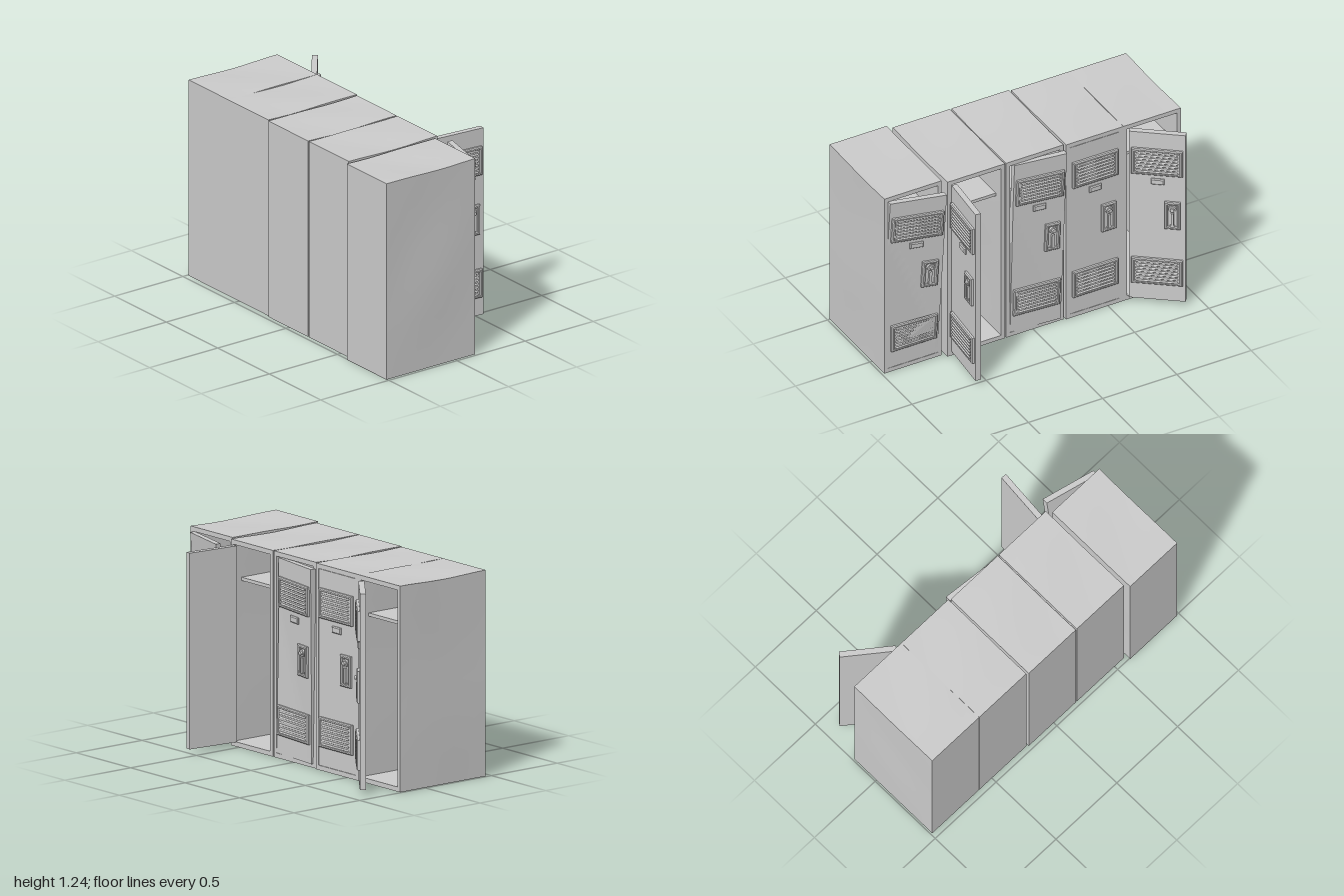
import * as THREE from 'three';

const H = 1.24, W = 0.386, D = 0.65, T = 0.025;   // cabinet size and wall thickness
const DW = 0.335, DT = 0.035, DY = 0.03, DH = 1.18; // door size and height above ground

const material = new THREE.MeshStandardMaterial({ color: 0xcccccc, side: THREE.DoubleSide });

// Move every vertex of a geometry by a rule
function deform(geometry, rule) {
  const pos = geometry.attributes.position;
  const v = new THREE.Vector3();
  for (let i = 0; i < pos.count; i++) {
    v.fromBufferAttribute(pos, i);
    rule(v);
    pos.setXYZ(i, v.x, v.y, v.z);
  }
  geometry.computeVertexNormals();
  return geometry;
}

function addMesh(parent, name, geometry, rule) {
  const mesh = new THREE.Mesh(rule ? deform(geometry, rule) : geometry, material);
  mesh.name = name;
  parent.add(mesh);
}

// Box given by its minimum and maximum corners
function box(x0, x1, y0, y1, z0, z1, sx = 1, sy = 1, sz = 1) {
  return new THREE.BoxGeometry(x1 - x0, y1 - y0, z1 - z0, sx, sy, sz)
    .translate((x0 + x1) / 2, (y0 + y1) / 2, (z0 + z1) / 2);
}

function rectangle(target, w, h) {
  target.moveTo(-w / 2, -h / 2);
  target.lineTo(w / 2, -h / 2);
  target.lineTo(w / 2, h / 2);
  target.lineTo(-w / 2, h / 2);
  target.closePath();
  return target;
}

// Bevelled plate standing out of the door face (towards -z), optionally with an opening
function raisedPlate(x, y, w, h, depth, rim = 0) {
  const bevel = 0.006;
  const shape = rectangle(new THREE.Shape(), w - 2 * bevel, h - 2 * bevel);
  if (rim) shape.holes.push(rectangle(new THREE.Path(), w - 2 * rim, h - 2 * rim));
  return new THREE.ExtrudeGeometry(shape, {
    depth: depth - bevel, bevelEnabled: true, bevelThickness: bevel, bevelSize: bevel, bevelSegments: 1,
  }).rotateY(Math.PI).translate(x, y, 0);
}

// Open-fronted cabinet with a shelf, its sheet metal slightly dented
function createCabinet(x, front, seed) {
  const cabinet = new THREE.Group();
  cabinet.name = 'cabinet';
  const h = W / 2, n = 8;
  const dent = (v) => {
    const bulge = Math.sin(Math.PI * v.y / H) * Math.sin(Math.PI * v.z / D);
    v.x += 0.006 * bulge * Math.sin(seed * 2.1 + v.y * 5 + v.z * 4);
    if (v.y > H / 2) v.y -= 0.004 * (1 + Math.sin(seed + v.x * 9 + v.z * 7)) * Math.sin(Math.PI * v.z / D);
  };
  for (const s of [-1, 1]) {
    const a = s * h, b = s * (h - T);
    addMesh(cabinet, 'sideWall', box(Math.min(a, b), Math.max(a, b), 0, H, 0, D, 1, n, n), dent);
  }
  addMesh(cabinet, 'roof', box(-h + T, h - T, H - 0.028, H, 0, D, n, 1, n), dent);
  addMesh(cabinet, 'floor', box(-h + T, h - T, 0, 0.028, 0, D));
  addMesh(cabinet, 'backWall', box(-h + T, h - T, 0.028, H - 0.028, D - T, D, n, n, 1), dent);
  addMesh(cabinet, 'shelf', box(-h + T, h - T, 0.985, 1.005, 0.06, D - T));
  cabinet.position.set(x, 0, front);
  return cabinet;
}

// Louvred vent: raised plate with seven rounded slats
function addVent(door, y, bend) {
  const x = -0.167;
  addMesh(door, 'ventPlate', raisedPlate(x, y, 0.305, 0.18, 0.014), bend);
  addMesh(door, 'ventRim', raisedPlate(x, y, 0.305, 0.18, 0.019, 0.014), bend);
  for (let i = -3; i <= 3; i++) {
    const slat = new THREE.CapsuleGeometry(0.0065, 0.24, 3, 8).rotateZ(Math.PI / 2);
    addMesh(door, 'ventSlat', slat.translate(x, y + i * 0.0225, -0.015), bend);
  }
}

// Door with its hinge at the local origin, the outer face towards -z
function createDoor(hingeX, hingeZ, swing, lean, bent) {
  const door = new THREE.Group();
  door.name = 'door';
  // Bent doors fold outwards beyond a diagonal crease
  const bend = (v) => { v.z -= bent * Math.max(0, v.y - 0.92 - 2.54 * v.x); };

  addMesh(door, 'doorPanel', box(-DW, 0, 0, DH, 0, DT, 14, 40, 1), bend);
  addVent(door, 0.98, bend);
  addVent(door, 0.205, bend);
  addMesh(door, 'labelHolder', raisedPlate(-0.17, 0.84, 0.08, 0.04, 0.012), bend);

  // Latch: rimmed plate, round lock and pull bar
  const lx = -0.258, ly = 0.61;
  addMesh(door, 'latchPlate', raisedPlate(lx, ly, 0.095, 0.19, 0.007), bend);
  addMesh(door, 'latchRim', raisedPlate(lx, ly, 0.095, 0.19, 0.018, 0.014), bend);
  const disc = (r, d) => new THREE.CylinderGeometry(r * 0.85, r, d, 20)
    .rotateX(-Math.PI / 2).translate(lx, ly + 0.05, -d / 2);
  addMesh(door, 'lockRing', disc(0.026, 0.018), bend);
  addMesh(door, 'lockKnob', disc(0.014, 0.03), bend);
  addMesh(door, 'latchPull', box(lx - 0.008, lx + 0.008, ly - 0.075, ly + 0.02, -0.02, 0), bend);
  addMesh(door, 'latchFoot', box(lx - 0.014, lx + 0.014, ly - 0.078, ly - 0.066, -0.014, 0), bend);

  door.position.set(hingeX, DY, hingeZ);
  door.rotation.set(0, THREE.MathUtils.degToRad(-swing), THREE.MathUtils.degToRad(lean));
  return door;
}

export function createModel() {
  const model = new THREE.Group();
  model.name = 'lockerRow';
  // Per locker: centre x, front z, then the door's hinge x, hinge z, swing, lean and bend
  const lockers = [
    [-0.797, -0.185, -0.63, -0.205, 38, 0, 0],
    [-0.41, -0.185, -0.243, -0.185, 0, 0, 0],
    [-0.012, -0.176, 0.155, -0.176, 2, 1.3, 0.025],
    [0.383, -0.176, 0.55, -0.178, 95, 0, 0],
    [0.791, -0.145, 0.958, -0.145, 0, 0, 0.095],
  ];
  lockers.forEach(([x, front, ...door], i) => {
    const locker = new THREE.Group();
    locker.name = 'locker';
    locker.add(createCabinet(x, front, i + 1), createDoor(...door));
    model.add(locker);
  });
  return model;
}
